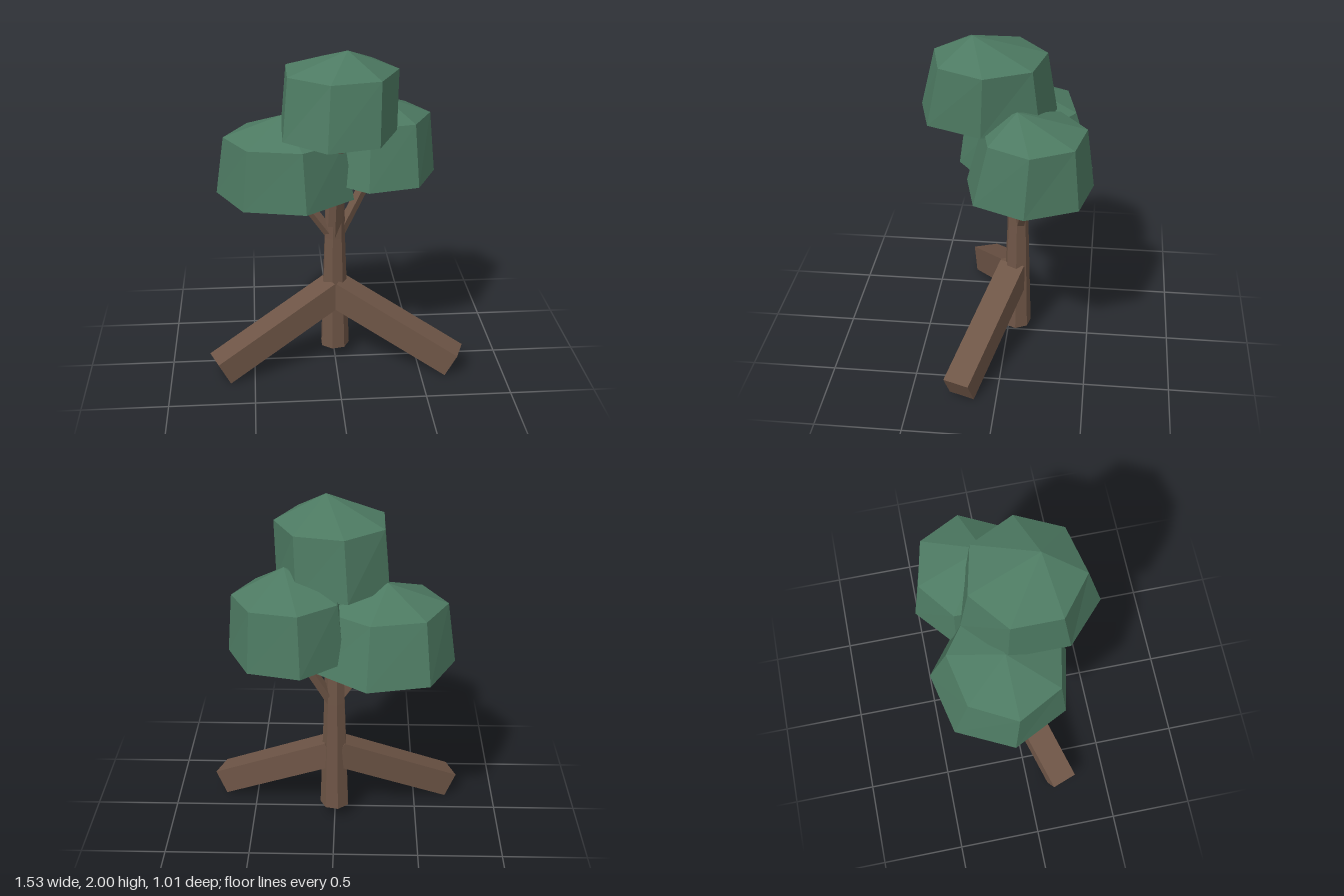
import * as THREE from 'three';

const bark = new THREE.MeshStandardMaterial({ color: 0x6e5546, flatShading: true });
const leaf = new THREE.MeshStandardMaterial({ color: 0x4d7a62, flatShading: true });

// Flat-shaded loft through horizontal rings [y, centreX, centreZ, radiusX, radiusZ], bottom to top
function loft(rings, sides, phase) {
  const point = ([y, cx, cz, rx, rz], i) => {
    const a = phase + (i % sides) * 2 * Math.PI / sides;
    return [cx + rx * Math.cos(a), y, cz + rz * Math.sin(a)];
  };
  const pos = [];
  for (let r = 0; r < rings.length - 1; r++) {
    const low = rings[r], high = rings[r + 1];
    for (let i = 0; i < sides; i++) {
      if (low[3] > 0) pos.push(...point(low, i), ...point(high, i), ...point(low, i + 1));
      if (high[3] > 0) pos.push(...point(high, i), ...point(high, i + 1), ...point(low, i + 1));
    }
  }
  const geo = new THREE.BufferGeometry();
  geo.setAttribute('position', new THREE.Float32BufferAttribute(pos, 3));
  geo.computeVertexNormals();
  return geo;
}

function addMesh(group, name, geometry, material) {
  const mesh = new THREE.Mesh(geometry, material);
  mesh.name = name;
  group.add(mesh);
  return mesh;
}

// Tapered limb between two points
function addLimb(group, name, from, to, r0, r1, sides) {
  const a = new THREE.Vector3(...from), b = new THREE.Vector3(...to);
  const dir = b.clone().sub(a);
  const mesh = addMesh(group, name, new THREE.CylinderGeometry(r1, r0, dir.length(), sides), bark);
  mesh.position.copy(a).add(b).multiplyScalar(0.5);
  mesh.quaternion.setFromUnitVectors(new THREE.Vector3(0, 1, 0), dir.normalize());
}

export function createModel() {
  const tree = new THREE.Group();
  tree.name = 'tree';

  // Trunk
  addMesh(tree, 'trunk', loft([
    [0.075, 0, -0.055, 0, 0], [0.075, 0, -0.055, 0.09, 0.09],
    [0.8, 0, -0.06, 0.064, 0.064], [1.15, 0, -0.05, 0.058, 0.058], [1.15, 0, -0.05, 0, 0],
  ], 7, 0), bark);

  // Branches reaching into the three crowns
  addLimb(tree, 'frontBranch', [0, 0.82, -0.045], [0.012, 1.5, 0.11], 0.045, 0.035, 5);
  addLimb(tree, 'rightBranch', [-0.01, 0.8, -0.05], [-0.25, 1.14, -0.04], 0.036, 0.034, 5);
  addLimb(tree, 'leftBranch', [0.015, 0.79, -0.07], [0.23, 1.19, -0.14], 0.036, 0.034, 5);

  // Two square beams sloping down and forward as legs
  for (const side of [1, -1]) {
    const inner = new THREE.Vector3(0, 0.453, -0.042);
    const outer = new THREE.Vector3(0.705 * side, 0.073, 0.215);
    const leg = addMesh(tree, side > 0 ? 'leftLeg' : 'rightLeg',
      new THREE.BoxGeometry(0.158, 0.158, inner.distanceTo(outer)), bark);
    leg.position.copy(inner).add(outer).multiplyScalar(0.5);
    leg.lookAt(outer);
  }

  // Leafy crowns: bottom tip, lower ring, upper ring, top tip
  const crowns = {
    topCrown: [0, [
      [1.41, 0.01, 0.11, 0, 0], [1.52, 0, 0.115, 0.342, 0.4],
      [1.87, 0.02, 0.1, 0.33, 0.327], [2, 0.055, 0.187, 0, 0]]],
    leftCrown: [0, [
      [1.07, 0.26, -0.15, 0, 0], [1.175, 0.257, -0.145, 0.348, 0.37],
      [1.53, 0.262, -0.17, 0.313, 0.298], [1.66, 0.285, -0.08, 0, 0]]],
    rightCrown: [Math.PI, [
      [0.985, -0.275, -0.09, 0, 0], [1.09, -0.275, -0.09, 0.42, 0.41],
      [1.44, -0.28, -0.06, 0.365, 0.33], [1.565, -0.3, -0.07, 0, 0]]],
  };
  for (const [name, [phase, rings]] of Object.entries(crowns)) {
    addMesh(tree, name, loft(rings, 7, phase), leaf);
  }
  return tree;
}
